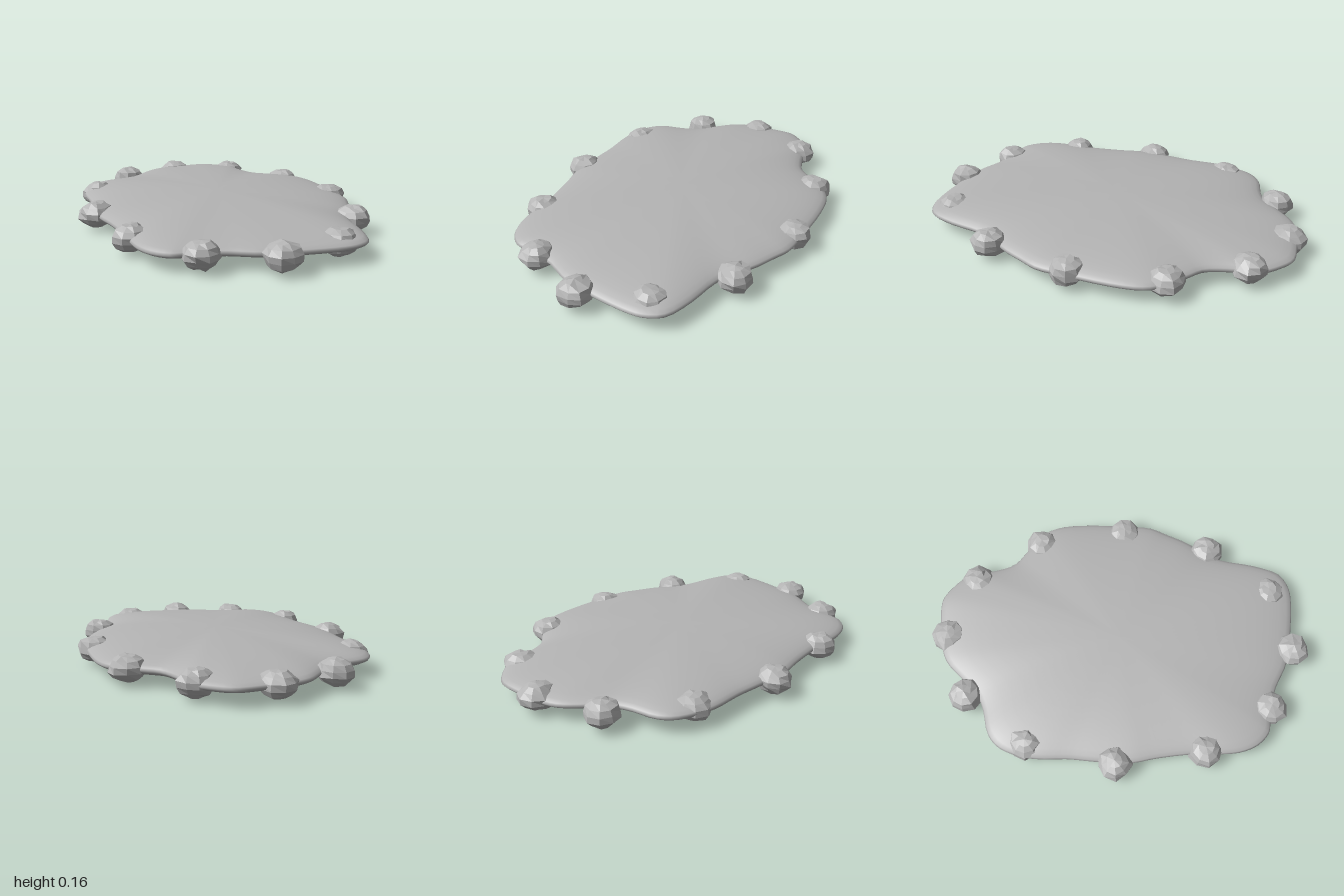
import * as THREE from 'three';

// Wavy rim of the slab as x, z pairs, going round from the model's left to its front
const RIM = [
  0.69, 0, 0.685, 0.14, 0.65, 0.23, 0.6, 0.35, 0.53, 0.46, 0.5, 0.55, 0.475, 0.72, 0.43, 0.85,
  0.35, 0.9, 0.27, 0.91, 0.085, 0.9, -0.08, 0.875, -0.23, 0.81, -0.39, 0.785, -0.455, 0.775,
  -0.52, 0.72, -0.56, 0.635, -0.575, 0.53, -0.58, 0.4, -0.61, 0.21, -0.64, 0.08, -0.64, -0.1,
  -0.633, -0.235, -0.64, -0.39, -0.625, -0.5, -0.585, -0.595, -0.52, -0.65, -0.4, -0.685,
  -0.31, -0.73, -0.23, -0.82, -0.15, -0.9, -0.07, -0.935, 0.08, -0.96, 0.2, -0.965, 0.275, -0.92,
  0.35, -0.84, 0.385, -0.7, 0.43, -0.595, 0.5, -0.54, 0.62, -0.45, 0.665, -0.37, 0.687, -0.23,
];
const MID_Y = 0.083;
const HALF_THICKNESS = 0.081;

// Lens-shaped slab: elliptical section swept out to the wavy rim
function slabGeometry() {
  const points = [];
  for (let i = 0; i < RIM.length; i += 2) points.push(new THREE.Vector3(RIM[i], 0, RIM[i + 1]));
  const rim = new THREE.CatmullRomCurve3(points, true);
  const cols = 120, rows = 24;
  const pos = [], index = [];
  for (let r = 0; r <= rows; r++) {
    const a = (r / rows) * Math.PI;
    for (let c = 0; c < cols; c++) {
      const p = rim.getPoint(c / cols);
      pos.push(p.x * Math.sin(a), MID_Y + HALF_THICKNESS * Math.cos(a), p.z * Math.sin(a));
    }
  }
  for (let r = 0; r < rows; r++) {
    for (let c = 0; c < cols; c++) {
      const n = (c + 1) % cols;
      const a = r * cols + c, b = r * cols + n, d = a + cols, e = b + cols;
      if (r > 0) index.push(a, b, d);
      if (r < rows - 1) index.push(b, e, d);
    }
  }
  const g = new THREE.BufferGeometry();
  g.setAttribute('position', new THREE.Float32BufferAttribute(pos, 3));
  g.setIndex(index);
  g.computeVertexNormals();
  return g;
}

// Small seeded noise, the same for coincident vertices
function noise(x, y, z, seed) {
  const s = Math.sin(x * 12.9898 + y * 78.233 + z * 37.719 + seed * 4.137) * 43758.5453;
  return s - Math.floor(s);
}

// Lumpy, faceted stone
function stoneGeometry(seed) {
  const g = new THREE.SphereGeometry(1, 9, 7).toNonIndexed();
  const p = g.attributes.position;
  const v = new THREE.Vector3();
  for (let i = 0; i < p.count; i++) {
    v.fromBufferAttribute(p, i);
    const round = [v.x, v.y, v.z].map((n) => Math.round(n * 100) / 100 + 0);
    v.multiplyScalar(0.9 + 0.18 * noise(...round, seed));
    p.setXYZ(i, v.x * 0.09, v.y * 0.066, v.z * 0.09);
  }
  g.computeVertexNormals();
  return g;
}

export function createModel() {
  const model = new THREE.Group();
  model.name = 'stoneRimmedSlab';
  const grey = new THREE.MeshStandardMaterial({ color: 0xb4b4b4 });
  grey.name = 'stone grey';

  const slab = new THREE.Mesh(slabGeometry(), grey);
  slab.name = 'slab';
  model.add(slab);

  // Twelve stones on an ellipse round the rim
  const stones = new THREE.Group();
  stones.name = 'rimStones';
  for (let i = 0; i < 12; i++) {
    const a = (i / 12) * Math.PI * 2;
    const stone = new THREE.Mesh(stoneGeometry(i + 1), grey);
    stone.name = 'rimStone' + (i + 1);
    stone.position.set(0.64 * Math.cos(a), 0.08, 0.905 * Math.sin(a));
    stone.rotation.y = i * 1.3;
    stones.add(stone);
  }
  model.add(stones);
  return model;
}
